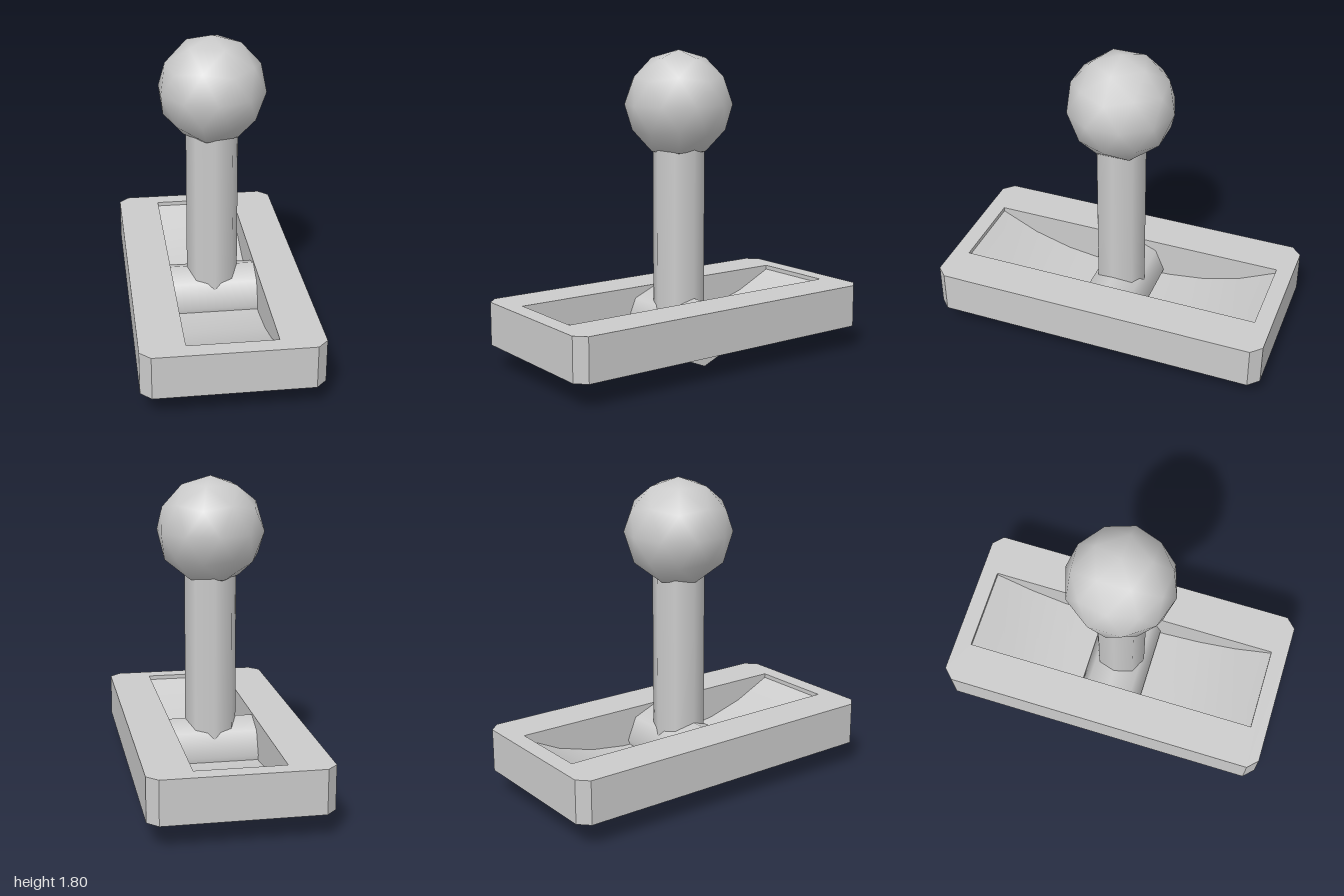
import * as THREE from 'three';

export function createModel() {
  const group = new THREE.Group();
  const material = new THREE.MeshStandardMaterial({ color: 0xcccccc });
  const add = (name, geometry, x = 0, y = 0, z = 0) => {
    const mesh = new THREE.Mesh(geometry, material);
    mesh.name = name;
    mesh.position.set(x, y, z);
    group.add(mesh);
    return mesh;
  };

  const bottom = 0.14, top = 0.39;
  const slotX = 0.25, slotZ = 0.9;

  // base frame: chamfered rectangle with a long slot
  const w = 0.5, d = 1, c = 0.06;
  const outline = new THREE.Shape([
    [w - c, -d], [w, -d + c], [w, d - c], [w - c, d],
    [-w + c, d], [-w, d - c], [-w, -d + c], [-w + c, -d],
  ].map(([x, y]) => new THREE.Vector2(x, y)));
  outline.holes.push(new THREE.Path([
    [-slotX, -slotZ], [-slotX, slotZ], [slotX, slotZ], [slotX, -slotZ],
  ].map(([x, y]) => new THREE.Vector2(x, y))));
  const frame = new THREE.ExtrudeGeometry(outline, { depth: top - bottom, bevelEnabled: false });
  frame.rotateX(-Math.PI / 2);
  add('baseFrame', frame, 0, bottom);

  // slot floor: shallow trough, steeper towards both ends
  const floor = new THREE.PlaneGeometry(slotX * 2, slotZ * 2, 1, 8).rotateX(-Math.PI / 2);
  const p = floor.attributes.position;
  for (let i = 0; i < p.count; i++) {
    p.setY(i, 0.155 + 0.21 * Math.pow(Math.abs(p.getZ(i)) / slotZ, 2.5));
  }
  floor.computeVertexNormals();
  add('slotFloor', floor);

  // flat underside closing the slot
  add('baseUnderside', new THREE.PlaneGeometry(slotX * 2, slotZ * 2).rotateX(Math.PI / 2), 0, bottom);

  // pivot axle lying across the slot
  add('pivotAxle', new THREE.CylinderGeometry(0.19, 0.19, slotX * 2, 8).rotateZ(Math.PI / 2), 0, 0.19);

  // lever shaft
  add('leverShaft', new THREE.CylinderGeometry(0.15, 0.15, 1.11, 8), 0, 0.745);

  // ball knob: smooth icosphere turned so a corner points straight up
  const knob = new THREE.IcosahedronGeometry(0.31, 1);
  knob.rotateZ(-Math.atan(2 / (1 + Math.sqrt(5))));
  add('ballKnob', knob, 0, 1.49);

  return group;
}
